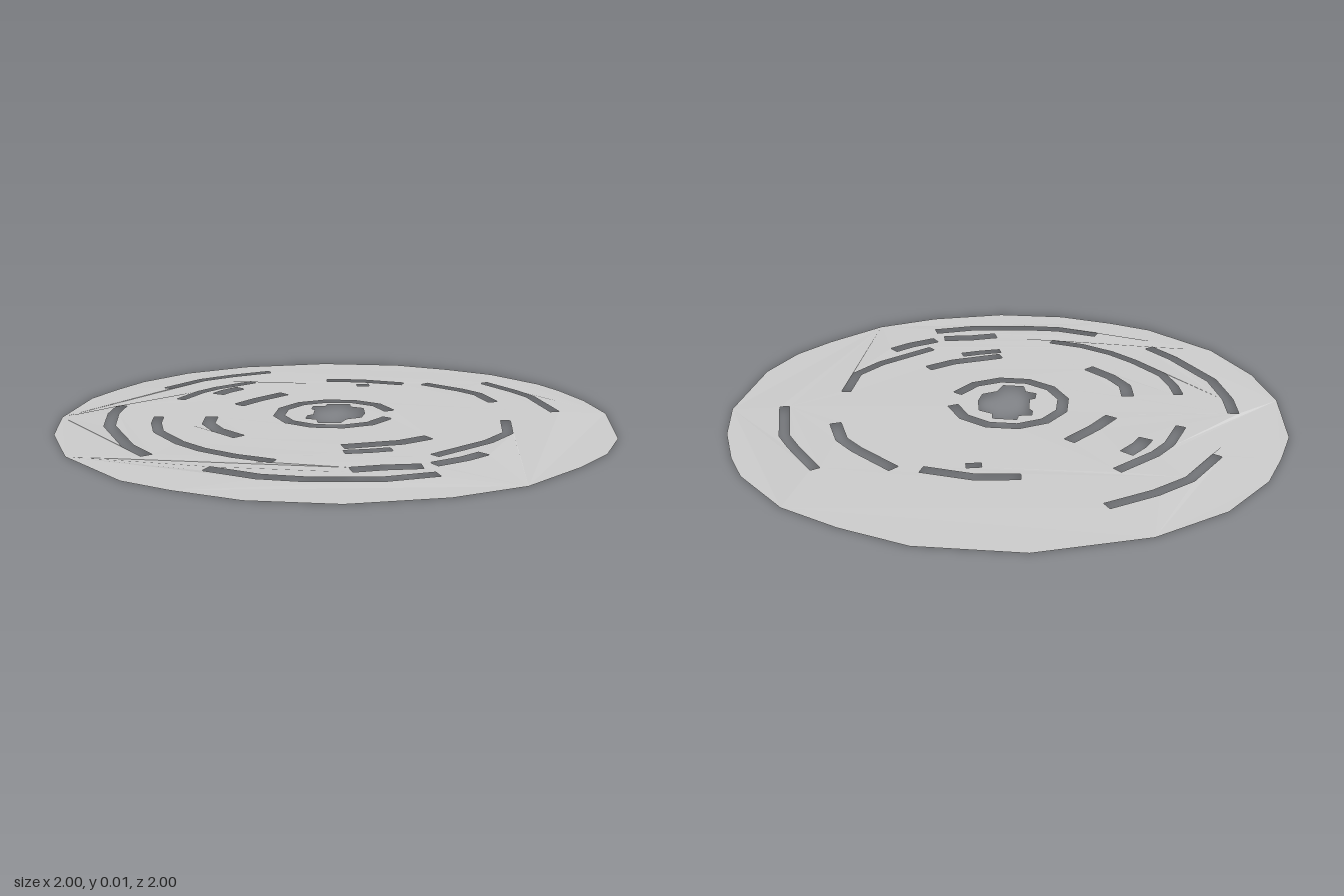
import * as THREE from 'three';

const material = new THREE.MeshStandardMaterial({ color: 0xcccccc, flatShading: true, side: THREE.DoubleSide });

// Shape plane is x/-z, so that the sheet faces up once laid flat
const pts = (list) => list.map(([x, z]) => new THREE.Vector2(x, -z));

// Closed outline of a slit: a centreline widened to both sides
function slit(width, line) {
  const p = pts(line), a = [], b = [];
  p.forEach((q, i) => {
    const before = p[Math.max(i - 1, 0)], after = p[Math.min(i + 1, p.length - 1)];
    const d = after.clone().sub(before).normalize();
    const n = new THREE.Vector2(-d.y, d.x).multiplyScalar(width / 2);
    a.push(q.clone().add(n));
    b.unshift(q.clone().sub(n));
  });
  return new THREE.Path([...a, ...b]);
}

// Uneven rim of the disc
const rim = [
  [-0.17, -1], [0.17, -1], [0.40, -0.925], [0.60, -0.83], [0.79, -0.65], [0.865, -0.53],
  [0.945, -0.355], [1, -0.15], [0.99, 0.215], [0.925, 0.415], [0.825, 0.57], [0.65, 0.78],
  [0.43, 0.91], [0.135, 1], [-0.145, 1], [-0.37, 0.935], [-0.54, 0.865], [-0.795, 0.64],
  [-0.935, 0.385], [-1, 0.14], [-1, -0.175], [-0.95, -0.345], [-0.89, -0.505], [-0.745, -0.71], [-0.52, -0.88],
];

// Notched opening in the middle
const hub = [
  [-0.05, -0.145], [0.037, -0.145], [0.043, -0.105], [0.095, -0.083], [0.107, 0], [0.1, 0.056],
  [0.048, 0.088], [0.032, 0.147], [-0.048, 0.147], [-0.059, 0.1], [-0.1, 0.088], [-0.1, 0.045],
  [-0.08, 0.035], [-0.085, -0.05], [-0.1, -0.067], [-0.1, -0.1], [-0.053, -0.11],
];

// Slits: width, centreline
const outerSlits = [
  [0.035, [[-0.38, -0.73], [-0.53, -0.63], [-0.64, -0.53], [-0.74, -0.355]]],
  [0.035, [[0.56, -0.595], [0.68, -0.445], [0.735, -0.365], [0.81, -0.125]]],
  [0.045, [[0.39, 0.72], [0.23, 0.785], [0.005, 0.81], [-0.14, 0.805], [-0.31, 0.75]]],
  [0.04, [[-0.825, -0.015], [-0.815, 0.11], [-0.77, 0.285], [-0.63, 0.515], [-0.535, 0.62]]],
  [0.045, [[0.53, 0.48], [0.47, 0.545], [0.375, 0.615]]],
  [0.05, [[0.34, 0.64], [0.22, 0.665], [0.125, 0.70]]],
];
const middleSlits = [
  [0.035, [[-0.41, -0.50], [-0.535, -0.37], [-0.585, -0.29], [-0.63, -0.15]]],
  [0.04, [[-0.105, -0.575], [0.04, -0.59], [0.22, -0.555]]],
  [0.04, [[0.31, -0.56], [0.46, -0.445], [0.53, -0.375], [0.585, -0.25]]],
  [0.035, [[0.62, 0.035], [0.62, 0.21], [0.55, 0.33], [0.375, 0.515]]],
  [0.035, [[-0.635, 0.135], [-0.62, 0.22], [-0.58, 0.33], [-0.47, 0.46], [-0.375, 0.54], [-0.255, 0.605], [-0.12, 0.645]]],
];
const innerSlits = [
  [0.05, [[-0.44, -0.375], [-0.485, -0.31], [-0.505, -0.26]]],
  [0.045, [[-0.245, -0.30], [-0.33, -0.185], [-0.385, -0.09]]],
  [0.03, [[0.03, -0.505], [0.08, -0.515]]],
  [0.045, [[0.35, 0.30], [0.26, 0.375], [0.075, 0.455]]],
  [0.035, [[0.235, 0.46], [0.165, 0.49], [0.085, 0.515]]],
  [0.045, [[-0.445, 0.105], [-0.435, 0.20], [-0.38, 0.285], [-0.29, 0.365]]],
];

// Nearly closed ring slit around the hub, open towards +x
const ring = [];
for (let i = 0; i <= 11; i++) {
  const a = 0.27 + (i / 11) * (Math.PI * 2 - 0.54);
  ring.push([-0.005 + 0.207 * Math.cos(a), 0.207 * Math.sin(a)]);
}

export function createModel() {
  const shape = new THREE.Shape(pts(rim));
  shape.holes.push(new THREE.Path(pts(hub)));
  for (const [width, line] of [...outerSlits, ...middleSlits, ...innerSlits, [0.04, ring]]) {
    shape.holes.push(slit(width, line));
  }
  const geometry = new THREE.ShapeGeometry(shape).rotateX(-Math.PI / 2);

  // Rim lies on the ground, the slit edges sit slightly raised and uneven
  const pos = geometry.attributes.position;
  for (let i = 0; i < pos.count; i++) {
    const x = pos.getX(i), z = pos.getZ(i);
    pos.setY(i, Math.hypot(x, z) > 0.92 ? 0 : 0.009 + 0.002 * Math.sin(7 * x + 5 * z));
  }
  geometry.computeVertexNormals();

  const disc = new THREE.Mesh(geometry, material);
  disc.name = 'slottedDisc';
  const group = new THREE.Group();
  group.name = 'thinSlottedDisc';
  group.add(disc);
  return group;
}
